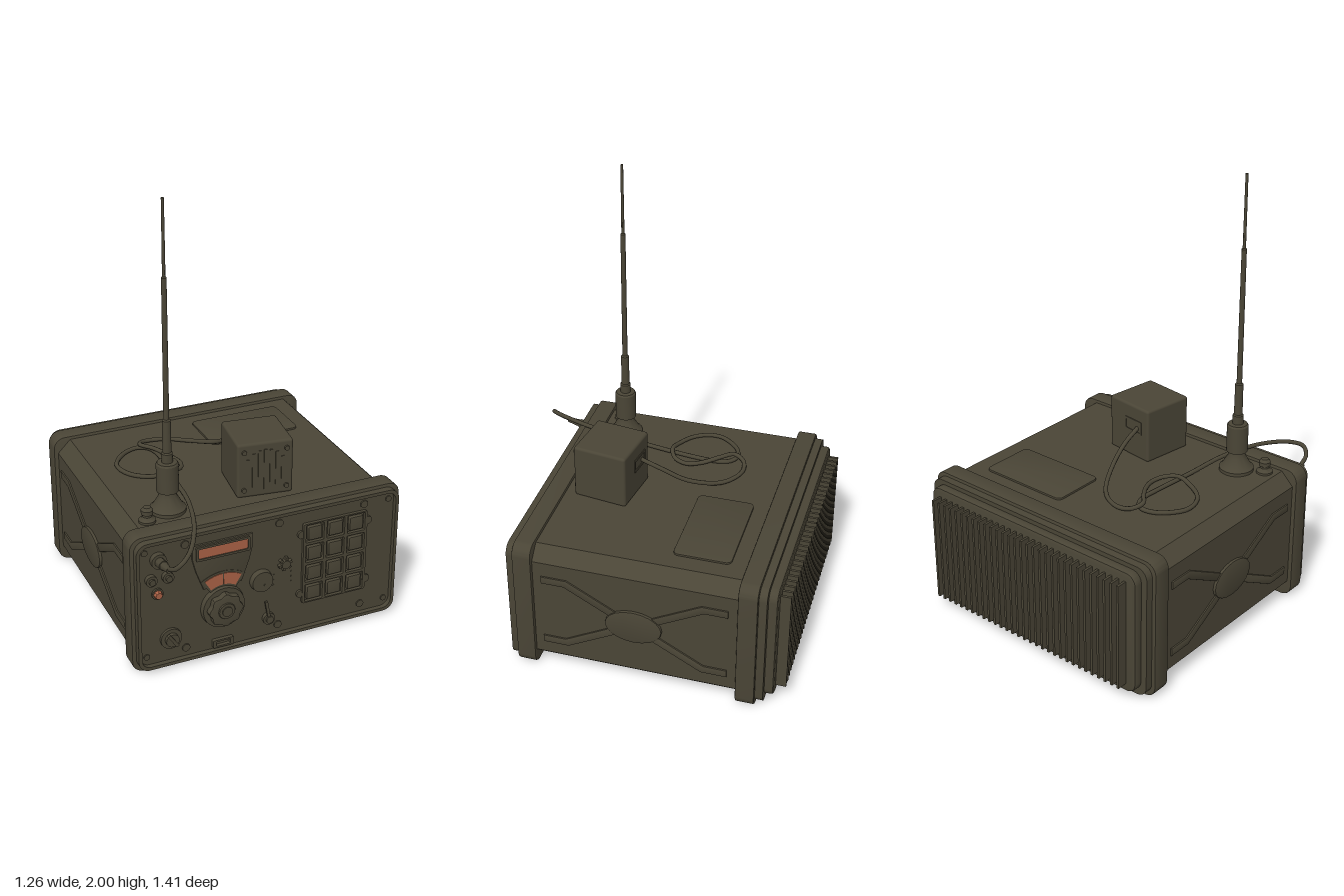
import * as THREE from 'three';
import { toCreasedNormals } from 'three/addons/utils/BufferGeometryUtils.js';
import { RoundedBoxGeometry } from 'three/addons/geometries/RoundedBoxGeometry.js';

const olive = new THREE.MeshStandardMaterial({ color: 0x4a4536 });
olive.name = 'olive paint';
const amber = new THREE.MeshStandardMaterial({ color: 0xa86044 });
amber.name = 'amber window';

function add(parent, name, geometry, x = 0, y = 0, z = 0, material = olive) {
  const mesh = new THREE.Mesh(geometry, material);
  mesh.name = name;
  mesh.position.set(x, y, z);
  parent.add(mesh);
  return mesh;
}
const box = (w, h, d) => new THREE.BoxGeometry(w, h, d);

// Rounded rectangle, usable as an outline or a hole
function roundRect(x0, y0, x1, y1, r, Type = THREE.Shape) {
  const s = new Type();
  s.moveTo(x0 + r, y0);
  s.lineTo(x1 - r, y0);
  s.absarc(x1 - r, y0 + r, r, -Math.PI / 2, 0);
  s.lineTo(x1, y1 - r);
  s.absarc(x1 - r, y1 - r, r, 0, Math.PI / 2);
  s.lineTo(x0 + r, y1);
  s.absarc(x0 + r, y1 - r, r, Math.PI / 2, Math.PI);
  s.lineTo(x0, y0 + r);
  s.absarc(x0 + r, y0 + r, r, Math.PI, Math.PI * 1.5);
  return s;
}
const poly = (pts) => new THREE.Shape(pts.map((p) => new THREE.Vector2(...p)));

// Outline extruded from z0 to z1 with an optional edge bevel
function slab(shape, z0, z1, bevel = 0) {
  const g = new THREE.ExtrudeGeometry(shape, {
    depth: z1 - z0 - 2 * bevel, bevelEnabled: bevel > 0, bevelThickness: bevel,
    bevelSize: bevel, bevelOffset: -bevel, bevelSegments: 2, curveSegments: 10,
  });
  g.translate(0, 0, z0 + bevel);
  return toCreasedNormals(g, 0.5);
}

// Round part facing the front
function disc(parent, name, x, y, r, z0, z1, sides = 24, rFront = r, material = olive) {
  const g = new THREE.CylinderGeometry(rFront, r, z1 - z0, sides);
  g.rotateX(Math.PI / 2);
  return add(parent, name, toCreasedNormals(g, 0.6), x, y, (z0 + z1) / 2, material);
}
function lathe(points, sides = 24) {
  return toCreasedNormals(new THREE.LatheGeometry(points.map((p) => new THREE.Vector2(...p)), sides), 0.5);
}

const PANEL = 0.505; // z of the recessed front panel

function buildCase(root) {
  const g = new THREE.Group();
  g.name = 'case';
  root.add(g);
  add(g, 'body', slab(poly([[-0.55, 0.02], [0.55, 0.02], [0.61, 0.08], [0.61, 0.575],
    [0.55, 0.635], [-0.55, 0.635], [-0.61, 0.575], [-0.61, 0.08]]), -0.55, 0.46));
  add(g, 'frontBand', slab(roundRect(-0.63, 0, 0.63, 0.65, 0.055), 0.41, 0.495, 0.006));
  add(g, 'rearBand', slab(roundRect(-0.63, 0, 0.63, 0.65, 0.055), -0.585, -0.5, 0.006));
  const rim = roundRect(-0.612, 0.018, 0.612, 0.634, 0.05);
  rim.holes.push(roundRect(-0.597, 0.033, 0.597, 0.619, 0.04, THREE.Path));
  add(g, 'frontRim', slab(rim, 0.48, 0.527));
  add(g, 'frontPanel', slab(roundRect(-0.6, 0.03, 0.6, 0.622, 0.04), 0.48, PANEL));
  add(g, 'rearStep', slab(roundRect(-0.612, 0.018, 0.612, 0.634, 0.05), -0.62, -0.57));
  add(g, 'rearPlate', slab(roundRect(-0.585, 0.04, 0.585, 0.615, 0.05), -0.66, -0.61, 0.012));
  // Cooling fins
  for (let i = 0; i < 31; i++) {
    add(g, 'coolingFin', box(0.011, 0.495, 0.055), -0.531 + i * 0.0354, 0.327, -0.679);
  }
  // Pressed crosses and ovals on both sides
  const oval = new THREE.Shape();
  oval.absellipse(0, 0, 0.127, 0.083, 0, Math.PI * 2);
  const arm = [[0.415, 0.182], [0.3, 0.182], [0.08, 0.062], [0.1, 0.03], [0.312, 0.146], [0.415, 0.146]];
  for (const side of [-1, 1]) {
    const cross = new THREE.Group();
    cross.name = 'sideCross';
    cross.position.set(side * 0.605, 0.323, -0.043);
    cross.rotation.y = side * Math.PI / 2;
    g.add(cross);
    add(cross, 'sideOval', slab(oval, 0, 0.018, 0.004));
    for (const u of [-1, 1]) for (const v of [-1, 1]) {
      add(cross, 'sideRib', slab(poly(arm.map(([a, b]) => [a * u, b * v])), 0, 0.012, 0.003));
    }
  }
  // Raised plate on the lid
  const lid = slab(roundRect(0.03, 0.175, 0.47, 0.43, 0.025), 0, 0.012, 0.002);
  add(g, 'lidPlate', lid.rotateX(-Math.PI / 2), 0, 0.632, 0);
}

function buildControls(root) {
  const g = new THREE.Group();
  g.name = 'controls';
  root.add(g);
  // Tuning dial with its windows
  const dialX = -0.222, dialY = 0.243;
  add(g, 'dialPlate', slab(poly([[-0.36, 0.567], [-0.36, 0.5], [-0.345, 0.44], [-0.31, 0.345],
    [-0.134, 0.345], [-0.1, 0.44], [-0.085, 0.5], [-0.085, 0.567]]), PANEL - 0.005, 0.514, 0.003));
  const frame = roundRect(-0.345, 0.493, -0.1, 0.56, 0.006);
  frame.holes.push(roundRect(-0.335, 0.503, -0.11, 0.55, 0.004, THREE.Path));
  add(g, 'stripFrame', slab(frame, 0.512, 0.523));
  add(g, 'stripWindow', box(0.225, 0.046, 0.006), dialX, 0.526, 0.515, amber);
  const sector = (r0, r1, a0, a1) => {
    const s = new THREE.Shape();
    s.absarc(dialX, dialY, r1, a0, a1, false);
    s.absarc(dialX, dialY, r0, a1, a0, true);
    return s;
  };
  const mid = Math.PI / 2;
  add(g, 'arcFrame', slab(sector(0.1, 0.174, mid - 0.62, mid + 0.62), 0.512, 0.516));
  for (const s of [-1, 1]) {
    add(g, 'arcWindow', slab(sector(0.11, 0.164, mid + s * 0.28 - 0.26, mid + s * 0.28 + 0.26), 0.513, 0.519),
      0, 0, 0, amber);
  }
  disc(g, 'tuningCollar', dialX, dialY, 0.1, PANEL, 0.528, 32, 0.096);
  const grip = [];
  for (let i = 0; i < 48; i++) {
    const a = i / 48 * Math.PI * 2, r = 0.075 + 0.005 * Math.cos(a * 8);
    grip.push([Math.cos(a) * r, Math.sin(a) * r]);
  }
  add(g, 'tuningKnob', slab(poly(grip), 0.52, 0.556, 0.006), dialX, dialY);
  disc(g, 'tuningHub', dialX, dialY, 0.042, 0.55, 0.561, 24, 0.036);
  disc(g, 'tuningCap', dialX, dialY, 0.023, 0.558, 0.566);
  // Smaller knobs and sockets
  disc(g, 'volumeKnob', -0.042, 0.323, 0.052, PANEL, 0.53, 28, 0.048);
  disc(g, 'volumeMark', -0.03, 0.305, 0.008, 0.528, 0.533, 12);
  disc(g, 'modeCollar', -0.46, 0.143, 0.048, PANEL, 0.518);
  disc(g, 'modeKnob', -0.46, 0.143, 0.03, 0.515, 0.535);
  add(g, 'modePointer', box(0.014, 0.07, 0.014), -0.46, 0.146, 0.536).rotation.z = 0.6;
  for (const x of [-0.545, -0.471]) {
    disc(g, 'socket', x, 0.45, 0.025, PANEL, 0.525);
    disc(g, 'socketCore', x, 0.45, 0.014, 0.52, 0.536, 16);
  }
  disc(g, 'lampRing', -0.516, 0.376, 0.026, PANEL, 0.514);
  disc(g, 'lamp', -0.516, 0.376, 0.021, 0.51, 0.53, 8, 0.015, amber);
  // Lever switch
  disc(g, 'leverBase', -0.005, 0.122, 0.028, PANEL, 0.522);
  disc(g, 'leverHub', -0.005, 0.122, 0.017, 0.52, 0.531);
  add(g, 'lever', box(0.013, 0.1, 0.009), -0.014, 0.168, 0.524).rotation.z = 0.18;
  // Star selector
  disc(g, 'selectorHub', 0.069, 0.38, 0.02, PANEL, 0.528, 16);
  for (let i = 0; i < 3; i++) {
    add(g, 'selectorSpoke', box(0.064, 0.012, 0.018), 0.069, 0.38, 0.513).rotation.z = i * Math.PI / 3 + 0.3;
  }
  for (let i = 0; i < 6; i++) disc(g, 'marker', 0.02 + (i % 2) * 0.085, 0.28 + (i >> 1) * 0.025, 0.004, PANEL, 0.508, 8);
  // Lower slot
  const slot = roundRect(-0.27, 0.042, -0.174, 0.08, 0.005);
  slot.holes.push(roundRect(-0.255, 0.05, -0.189, 0.072, 0.003, THREE.Path));
  add(g, 'lowerSlot', slab(slot, PANEL - 0.005, 0.522));
  // Keypad: lattice with nine-by-grid openings and raised keys
  const lattice = roundRect(0.153, 0.158, 0.463, 0.553, 0.008);
  for (let c = 0; c < 3; c++) for (let r = 0; r < 4; r++) {
    const x = 0.208 + c * 0.1, y = 0.207 + r * 0.099;
    lattice.holes.push(roundRect(x - 0.043, y - 0.043, x + 0.043, y + 0.043, 0.004, THREE.Path));
    add(g, 'key', slab(roundRect(-0.033, -0.033, 0.033, 0.033, 0.005), PANEL - 0.005, 0.523, 0.006), x, y);
  }
  add(g, 'keypadFrame', slab(lattice, PANEL - 0.005, 0.52));
  for (const x of [0.147, 0.469]) for (const y of [0.205, 0.502]) disc(g, 'keypadLug', x, y, 0.019, PANEL, 0.516, 16);
  // Panel screws
  for (const y of [0.074, 0.582]) {
    for (const x of [-0.39, 0.042, 0.45]) disc(g, 'panelScrew', x, y, 0.018, PANEL, 0.511, 12);
    for (const x of [-0.57, 0.57]) disc(g, 'cornerScrew', x, y, 0.014, PANEL, 0.511, 12);
  }
}

function buildAntenna(root) {
  const g = new THREE.Group();
  g.name = 'antenna';
  root.add(g);
  add(g, 'antennaMast', lathe([[0.078, 0.625], [0.078, 0.65], [0.066, 0.66], [0.04, 0.705], [0.037, 0.725],
    [0.048, 0.73], [0.048, 0.855], [0.043, 0.863], [0.024, 0.865], [0.024, 0.905], [0.019, 0.91], [0.018, 1.055],
    [0.012, 1.06], [0.011, 1.675], [0.007, 1.68], [0.006, 2], [0, 2]]), -0.38, 0, 0.297);
  add(g, 'groundPost', lathe([[0.037, 0.625], [0.037, 0.645], [0.027, 0.65], [0.02, 0.66], [0.02, 0.668],
    [0.026, 0.672], [0.026, 0.69], [0.016, 0.703], [0, 0.706]]), -0.495, 0, 0.352);
}

function buildSpeaker(root) {
  const g = new THREE.Group();
  g.name = 'speaker';
  g.position.set(0.066, 0.762, 0.224);
  g.rotation.y = -0.136;
  root.add(g);
  add(g, 'speakerBox', new RoundedBoxGeometry(0.25, 0.255, 0.25, 3, 0.012));
  // Grille bars trimmed to a circle
  for (let i = -3; i <= 3; i++) {
    const h = 2 * Math.sqrt(0.095 ** 2 - (i * 0.026) ** 2);
    add(g, 'grilleBar', box(0.013, h, 0.006), i * 0.026, 0, 0.126);
  }
  for (const x of [-0.095, 0.095]) for (const y of [-0.09, 0.09]) disc(g, 'speakerScrew', x, y, 0.011, 0.12, 0.134, 12);
  // Cable entry at the back
  const entry = roundRect(-0.085, -0.005, 0.025, 0.06, 0.006);
  entry.holes.push(roundRect(-0.075, 0.005, 0.015, 0.05, 0.004, THREE.Path));
  add(g, 'cableEntry', slab(entry, -0.129, -0.12));
}

function buildCable(root) {
  const g = new THREE.Group();
  g.name = 'cable';
  root.add(g);
  disc(g, 'plugSocket', -0.512, 0.54, 0.034, PANEL, 0.53);
  const plug = new THREE.Group();
  plug.name = 'plug';
  plug.position.set(-0.512, 0.538, 0.52);
  plug.rotation.x = -0.2;
  g.add(plug);
  disc(plug, 'plugSleeve', 0, 0, 0.021, 0, 0.06);
  disc(plug, 'plugBoot', 0, 0, 0.018, 0.06, 0.12, 20, 0.012);
  const path = [
    [-0.512, 0.56, 0.62], [-0.503, 0.59, 0.68], [-0.476, 0.622, 0.697], [-0.43, 0.643, 0.66],
    [-0.355, 0.662, 0.525], [-0.295, 0.664, 0.32], [-0.268, 0.653, 0.114], [-0.245, 0.648, -0.09],
    [-0.241, 0.648, -0.185], [-0.258, 0.648, -0.242], [-0.3, 0.648, -0.27], [-0.37, 0.647, -0.25],
    [-0.442, 0.647, -0.165], [-0.446, 0.647, -0.1], [-0.41, 0.647, -0.03], [-0.335, 0.65, 0.02],
    [-0.26, 0.664, 0.032], [-0.2, 0.655, 0], [-0.181, 0.65, -0.06], [-0.205, 0.655, -0.13],
    [-0.25, 0.667, -0.2], [-0.293, 0.667, -0.258], [-0.27, 0.655, -0.304], [-0.218, 0.647, -0.32],
    [-0.148, 0.647, -0.303], [-0.07, 0.652, -0.24], [0, 0.69, -0.11], [0.024, 0.745, 0], [0.03, 0.79, 0.11],
  ].map((p) => new THREE.Vector3(...p));
  add(g, 'cord', new THREE.TubeGeometry(new THREE.CatmullRomCurve3(path), 220, 0.01, 8));
}

export function createModel() {
  const root = new THREE.Group();
  root.name = 'fieldRadio';
  buildCase(root);
  buildControls(root);
  buildAntenna(root);
  buildSpeaker(root);
  buildCable(root);
  return root;
}
